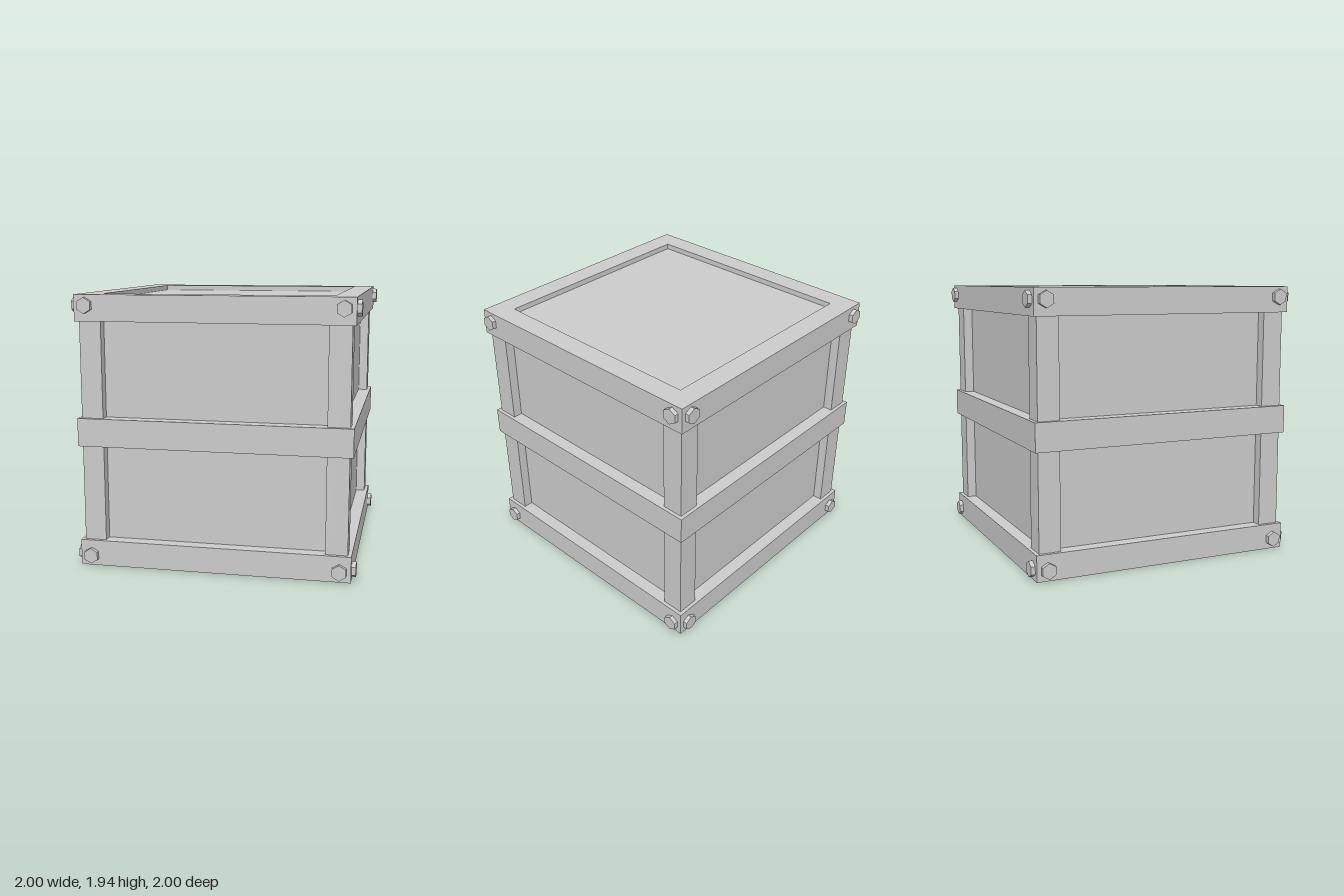
import * as THREE from 'three';

const OUT = 0.97;      // half width of the frames
const HEIGHT = 1.94;
const material = new THREE.MeshStandardMaterial({ color: 0xcccccc, flatShading: true });

function add(parent, name, geometry, x = 0, y = 0, z = 0) {
  const mesh = new THREE.Mesh(geometry, material);
  mesh.name = name;
  mesh.position.set(x, y, z);
  parent.add(mesh);
  return mesh;
}

function square(half, PathType) {
  const p = new PathType();
  p.moveTo(-half, -half);
  p.lineTo(half, -half);
  p.lineTo(half, half);
  p.lineTo(-half, half);
  p.closePath();
  return p;
}

// Square ring lying flat, its underside at y = 0
function ringGeometry(outer, inner, height) {
  const shape = square(outer, THREE.Shape);
  shape.holes.push(square(inner, THREE.Path));
  return new THREE.ExtrudeGeometry(shape, { depth: height, bevelEnabled: false }).rotateX(-Math.PI / 2);
}

export function createModel() {
  const crate = new THREE.Group();
  crate.name = 'crate';

  // Recessed panels: one closed box behind the frames
  const recess = 0.04;
  add(crate, 'panels', new THREE.BoxGeometry(1.75, HEIGHT - 2 * recess, 1.75), 0, HEIGHT / 2, 0);

  // Frames at the bottom, middle and top
  const rim = ringGeometry(OUT, 0.815, 0.185);
  add(crate, 'bottomFrame', rim);
  add(crate, 'topFrame', rim, 0, HEIGHT - 0.185, 0);
  add(crate, 'middleBand', ringGeometry(OUT, 0.815, 0.2), 0, 0.873, 0);

  // Corner posts
  const post = new THREE.BoxGeometry(0.155, HEIGHT - 0.2, 0.155);
  for (const x of [-1, 1])
    for (const z of [-1, 1])
      add(crate, 'cornerPost', post, x * 0.8665, HEIGHT / 2, z * 0.8665);

  // Hexagonal bolts, four on each side
  const bolt = new THREE.CylinderGeometry(0.056, 0.056, 0.05, 6).rotateX(Math.PI / 2);
  for (let side = 0; side < 4; side++) {
    const bolts = new THREE.Group();
    bolts.name = 'sideBolts';
    bolts.rotation.y = side * Math.PI / 2;
    for (const x of [-0.89, 0.89])
      for (const y of [0.075, HEIGHT - 0.075])
        add(bolts, 'bolt', bolt, x, y, 0.975);
    crate.add(bolts);
  }
  return crate;
}
